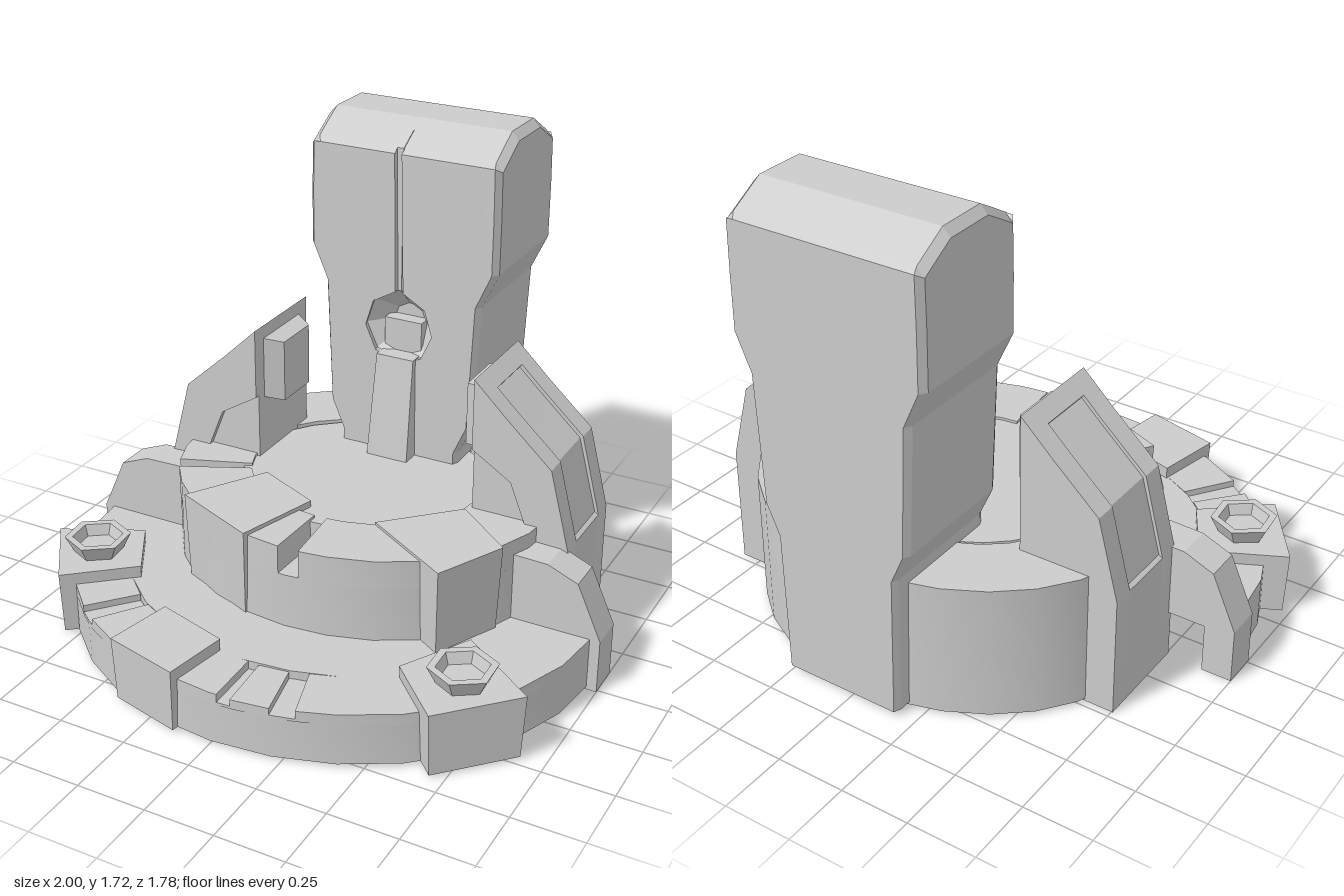
import * as THREE from 'three';
import { toCreasedNormals } from 'three/addons/utils/BufferGeometryUtils.js';

const stone = new THREE.MeshStandardMaterial({ color: 0xcccccc });
stone.name = 'light grey stone';
const CX = 0.035; // axis of the tower and buttresses
const H = Math.PI / 2;

function add(group, name, geometry) {
  const mesh = new THREE.Mesh(toCreasedNormals(geometry, 0.3), stone);
  mesh.name = name;
  group.add(mesh);
  return mesh;
}

function extrude(pts, depth) {
  const shape = new THREE.Shape(pts.map(([x, y]) => new THREE.Vector2(x, y)));
  return new THREE.ExtrudeGeometry(shape, { depth, bevelEnabled: false });
}

// outline in x,y extruded along z
const prism = (pts, z0, z1) => extrude(pts, z1 - z0).translate(0, 0, z0);

// outline in x,z extruded along y
const slab = (pts, y0, y1) =>
  extrude(pts.map(([x, z]) => [x, -z]), y1 - y0).rotateX(-H).translate(0, y0, 0);

// arc on an ellipse, angle 0 pointing to the front, with shared in-between corners
function arc([cx, cz], [rx, rz], a0, a1) {
  const step = H / 7;
  const angles = [a0];
  for (let k = Math.ceil(a0 / step + 0.1); k * step < a1 - 0.02; k++) angles.push(k * step);
  angles.push(a1);
  return angles.map((a) => [cx + rx * Math.sin(a), cz + rz * Math.cos(a)]);
}

const sector = (c, outer, inner, a0, a1) => [...arc(c, outer, a0, a1), ...arc(c, inner, a0, a1).reverse()];

function buildTiers(root) {
  // lower step: hollow below, with a cracked outer edge
  const low = [0, 0], lowOuter = [0.965, 0.87], lowMid = [0.77, 0.66], lowInner = [0.6, 0.38];
  add(root, 'lowerStepWall', slab(sector(low, lowOuter, [0.85, 0.75], -H, H), 0.01, 0.16));
  add(root, 'lowerStepTop', slab(sector(low, lowMid, lowInner, -H, H), 0.16, 0.2));
  for (const [a0, a1, y1] of [[-H, -0.74, 0.2], [-0.74, -0.64, 0.175], [-0.64, 0.03, 0.2],
    [0.03, 0.08, 0.17], [0.08, 0.22, 0.195], [0.22, 0.31, 0.17], [0.31, H, 0.2]]) {
    add(root, 'lowerStepPaving', slab(sector(low, lowOuter, lowMid, a0, a1), 0.16, y1));
  }

  // upper step with a cracked rim and a floor inside
  const up = [0.02, -0.19], upOuter = [0.7, 0.61], upInner = [0.43, 0.37];
  add(root, 'upperStep', slab(sector(up, upOuter, [0.53, 0.46], -H, H), 0.16, 0.4));
  for (const [a0, a1] of [[-H, -1.17], [-1.08, -0.03], [0.08, 1.1], [1.12, H]]) {
    add(root, 'upperStepRim', slab(sector(up, upOuter, upInner, a0, a1), 0.4, 0.505));
  }
  add(root, 'floor', slab(arc(up, [0.46, 0.4], 0, 4 * H - 0.22), 0.4, 0.495));
  add(root, 'floorEdge', slab(sector(up, [0.56, 0.49], upInner, -H, H), 0.37, 0.4));
  add(root, 'backWall', slab(sector([0.02, -0.24], [0.73, 0.61], [0.46, 0.36], H, 3 * H), 0.01, 0.5));
}

function buildBlocks(root) {
  // loose blocks set into the steps, slightly narrower at the foot
  const blocks = [
    ['upperBlock', [[-0.28, 0.01], [-0.04, 0.12], [-0.13, 0.425], [-0.45, 0.29]], 0.2, 0.52],
    ['upperBlock', [[0.22, 0.14], [0.45, -0.09], [0.67, 0.09], [0.55, 0.34]], 0.2, 0.515],
    ['frontBlock', [[-0.36, 0.57], [-0.09, 0.65], [-0.13, 0.89], [-0.41, 0.82]], 0.01, 0.245],
    ['boltBlock', [[-0.99, 0.31], [-0.71, 0.17], [-0.58, 0.39], [-0.8, 0.58]], 0.01, 0.245],
    ['boltBlock', [[0.64, 0.26], [0.93, 0.47], [0.7, 0.71], [0.5, 0.51]], 0.01, 0.245],
  ];
  for (const [name, pts, y0, y1] of blocks) {
    const block = slab(pts, y0, y1);
    const mid = block.boundingBox ?? new THREE.Box3().setFromBufferAttribute(block.attributes.position);
    const c = mid.getCenter(new THREE.Vector3());
    const p = block.attributes.position;
    for (let i = 0; i < p.count; i++) {
      if (p.getY(i) > c.y) continue;
      p.setX(i, c.x + (p.getX(i) - c.x) * 0.94);
      p.setZ(i, c.z + (p.getZ(i) - c.z) * 0.94);
    }
    add(root, name, block);
  }

  // hollow hexagonal bolts
  const profile = [[0.085, 0.24], [0.118, 0.305], [0.09, 0.305], [0.075, 0.265], [0, 0.265]]
    .map(([r, y]) => new THREE.Vector2(r, y));
  for (const [x, z, turn] of [[-0.78, 0.365, 0.1], [0.715, 0.49, 0.05]]) {
    const bolt = add(root, 'bolt', new THREE.LatheGeometry(profile, 6));
    bolt.position.set(x, 0, z);
    bolt.rotation.y = turn;
  }
}

function buildSides(root) {
  for (const s of [-1, 1]) {
    const side = new THREE.Group();
    side.name = s > 0 ? 'leftButtress' : 'rightButtress';
    root.add(side);
    const at = (pts) => pts.map(([x, y]) => [CX + s * x, y]);
    const outer = [[0.79, 0], [0.79, 0.44], [0.715, 0.73], [0.55, 0.88], [0.425, 1]];
    const full = at([[0.425, 0], ...outer]);
    // the middle is sunk to leave a panel between the rims
    const sunk = at([[0.425, 0], [0.79, 0], [0.79, 0.44], [0.776, 0.45], [0.704, 0.722],
      [0.542, 0.87], [0.468, 0.94], [0.476, 0.951], [0.425, 1]]);
    add(side, 'rearRim', prism(full, -0.475, -0.395));
    add(side, 'sunkPanel', prism(sunk, -0.395, -0.185));
    add(side, 'frontWeb', prism(full, -0.185, -0.125));
    add(side, 'frontRim', prism(
      at([...outer, [0.425, 0.74], [0.57, 0.65], [0.63, 0.5], [0.64, 0]]), -0.125, -0.105));

    // tapered pad on the inner face
    const pad = slab(at([[0.425, -0.42], [0.36, -0.38], [0.36, -0.2], [0.425, -0.165]]), 0.72, 0.95);
    const p = pad.attributes.position;
    for (let i = 0; i < p.count; i++) {
      if (Math.abs(p.getX(i) - CX) < 0.4) p.setY(i, p.getY(i) - 0.015);
    }
    add(side, 'innerPad', pad);

    // sloped flange beside the lower step
    const flange = [[1, 0], [1, 0.2], [0.91, 0.4], [0.8, 0.445], [0.62, 0.45], [0.62, 0.18],
      [0.89, 0.18], [0.89, 0]].map(([x, y]) => [s * x, y]);
    add(side, 'flange', prism(flange, -0.12, 0.01));
  }
}

function buildTower(root) {
  const tower = new THREE.Group();
  tower.name = 'tower';
  root.add(tower);
  const halfWidth = [[0.225, 0.02], [0.235, 0.54], [0.285, 0.65], [0.305, 1.12], [0.365, 1.25],
    [0.365, 1.45], [0.362, 1.72], [0.335, 1.72]];
  const right = halfWidth.map(([x, y]) => [CX + x, y]);
  const left = halfWidth.map(([x, y]) => [CX - x, y]).reverse();
  // groove running down into a round socket
  const SX = 0.03, SY = 0.985;
  const socket = Array.from({ length: 9 }, (_, i) => {
    const a = H - 0.12 - i * (4 * H - 0.24) / 8;
    return [SX + 0.138 * Math.cos(a), SY + 0.138 * Math.sin(a)];
  });
  const plain = [...right, ...left];
  const socketed = [...right, [0.03, 1.72], [0.03, 1.12], ...socket, [0.028, 1.12], [0.028, 1.72], ...left];
  const grooved = [...right, [0.032, 1.72], ...socket, [0.004, 1.72], ...left];

  // slices from back to front, cut to the roof slope and narrowed at both ends
  const roof = (z) => Math.min(1.72, 1.63 + 0.59 * (z + 0.89), 1.63 + 0.59 * (-0.4 - z));
  const cuts = [-0.89, -0.865, -0.74, -0.555, -0.5, -0.425, -0.4];
  const outlines = [plain, plain, plain, plain, socketed, grooved];
  outlines.forEach((outline, i) => {
    const slice = prism(outline, cuts[i], cuts[i + 1]);
    const p = slice.attributes.position;
    for (let k = 0; k < p.count; k++) {
      const z = p.getZ(k), dx = p.getX(k) - CX;
      const end = z < -0.88 || z > -0.41;
      const drop = !end && Math.abs(dx) > 0.35 ? 0.03 : 0;
      p.setY(k, Math.min(p.getY(k), roof(z) - drop));
      if (end) p.setX(k, CX + dx * 0.95);
      // the socket closes in towards its back
      const sx = p.getX(k) - SX, sy = p.getY(k) - SY;
      if (z < -0.49 && Math.hypot(sx, sy) < 0.15) p.setXY(k, SX + sx * 0.45, SY + sy * 0.45);
    }
    add(tower, 'towerSlice', slice);
  });

  // leaning pilaster under the socket
  const pilaster = prism([[-0.06, 0.4], [0.105, 0.4], [0.1, 0.88], [-0.045, 0.88]], -0.46, -0.32);
  const p = pilaster.attributes.position;
  for (let i = 0; i < p.count; i++) {
    if (p.getY(i) > 0.8 && p.getZ(i) > -0.4) p.setZ(i, -0.38);
  }
  add(tower, 'pilaster', pilaster);
  add(tower, 'socketBlock', prism([[-0.045, 0.88], [0.1, 0.88], [0.1, 1], [-0.045, 1]], -0.5, -0.445));
}

export function createModel() {
  const root = new THREE.Group();
  root.name = 'ruinedPedestal';
  buildTiers(root);
  buildBlocks(root);
  buildSides(root);
  buildTower(root);
  return root;
}
